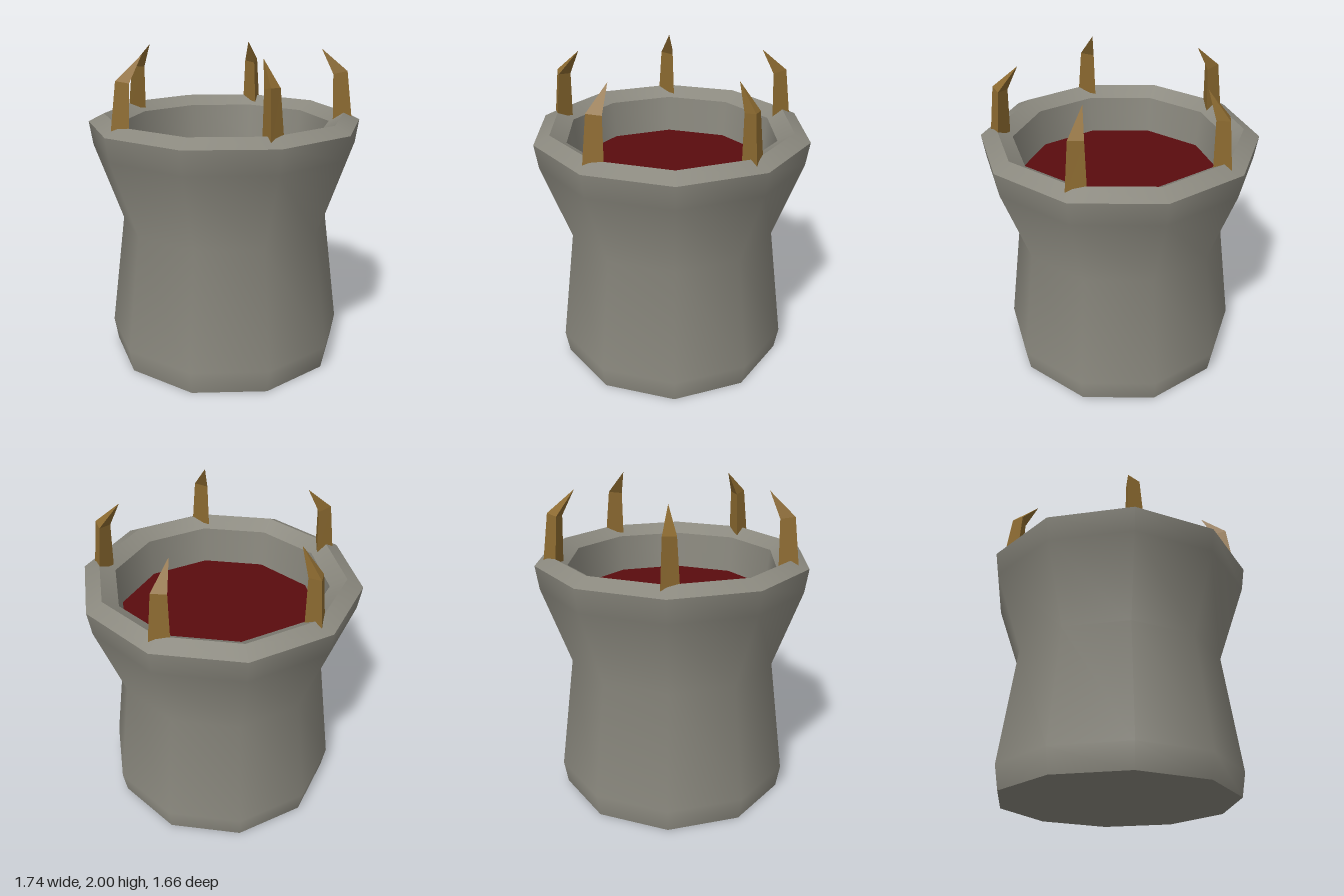
import * as THREE from 'three';

const stone = new THREE.MeshStandardMaterial({ color: 0x8a887e });
stone.name = 'grey stone';
const blood = new THREE.MeshStandardMaterial({ color: 0x5a0c0e });
blood.name = 'dark red liquid';
const horn = new THREE.MeshStandardMaterial({ color: 0x8c6a30, flatShading: true });
horn.name = 'golden horn';

// Ten-sided turned part from [radius, height] pairs; separate parts give sharp edges
function turned(name, profile, material) {
  const points = profile.map(([r, y]) => new THREE.Vector2(r, y));
  const mesh = new THREE.Mesh(new THREE.LatheGeometry(points, 10, Math.PI / 2), material);
  mesh.name = name;
  return mesh;
}

// Three-sided claw on the -x side of the rim, its tip bent towards the axis
function clawGeometry() {
  const rows = [
    { x: -0.753, y: 1.55, scale: 0.071, tilt: 0 },
    { x: -0.728, y: 1.853, scale: 0.104, tilt: -0.2 },
    { x: -0.608, y: 2, scale: 0, tilt: 0 },
  ];
  const geometry = new THREE.ConeGeometry(1, 2, 3, 2);
  const p = geometry.attributes.position;
  for (let i = 0; i < p.count; i++) {
    const row = rows[Math.round(p.getY(i)) + 1];
    const dx = p.getX(i) * row.scale;
    p.setXYZ(i, row.x + dx, row.y + dx * row.tilt, p.getZ(i) * row.scale);
  }
  const flat = geometry.toNonIndexed();
  flat.computeVertexNormals();
  return flat;
}

export function createModel() {
  const group = new THREE.Group();
  group.name = 'clawedBasin';

  // Stone vessel
  group.add(
    turned('base', [[0, 0], [0.75, 0]], stone),
    turned('outerWall', [[0.75, 0], [0.775, 0.15], [0.675, 0.9], [0.85, 1.4], [0.872, 1.55]], stone),
    turned('rimOuterBevel', [[0.872, 1.55], [0.772, 1.6]], stone),
    turned('rimInnerBevel', [[0.772, 1.6], [0.672, 1.54]], stone),
    turned('innerWall', [[0.672, 1.54], [0.645, 1.3]], stone),
  );

  // Liquid surface
  group.add(turned('liquid', [[0.646, 1.3], [0, 1.3]], blood));

  // Five claws around the rim
  const claw = clawGeometry();
  for (let i = 0; i < 5; i++) {
    const mesh = new THREE.Mesh(claw, horn);
    mesh.name = 'claw' + (i + 1);
    mesh.rotation.y = (i * Math.PI * 2) / 5;
    group.add(mesh);
  }
  return group;
}
